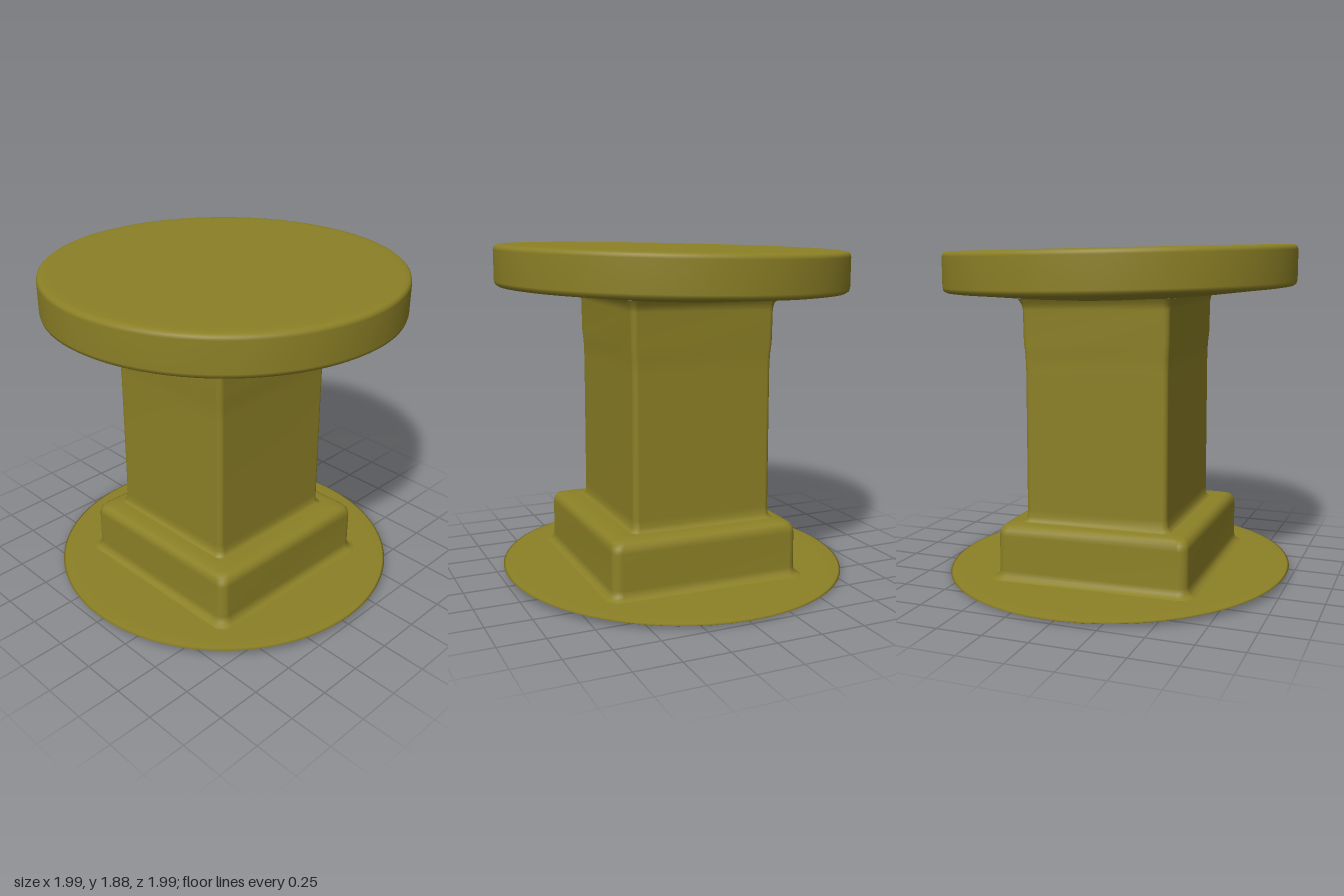
import * as THREE from 'three';

const olive = new THREE.MeshStandardMaterial({ color: 0x8c8026 });
olive.name = 'olive';

// Slight lean of every level surface: lower towards +x, higher towards +z
const lean = new THREE.Matrix4().set(
  1, 0, 0, 0,
  -0.017, 1, 0.015, 0,
  0, 0, 1, 0,
  0, 0, 0, 1
);

function part(name, geometry) {
  geometry.applyMatrix4(lean);
  const mesh = new THREE.Mesh(geometry, olive);
  mesh.name = name;
  return mesh;
}

// Round part from [radius, y] points, listed bottom to top
function turned(points) {
  return new THREE.LatheGeometry(points.map(([r, y]) => new THREE.Vector2(r, y)), 96);
}

// Square part with rounded corners, lofted through [halfWidth, y, cornerRadius] rings
function squareLoft(rings, cx, cz) {
  const steps = 6, count = 4 * (steps + 1), positions = [], index = [];
  for (const [half, y, radius] of rings) {
    for (let corner = 0; corner < 4; corner++) {
      const mid = (corner + 0.5) * Math.PI / 2;
      const sx = Math.sign(Math.cos(mid)), sz = Math.sign(Math.sin(mid));
      for (let i = 0; i <= steps; i++) {
        const a = (corner + i / steps) * Math.PI / 2;
        positions.push(
          cx + sx * (half - radius) + radius * Math.cos(a),
          y,
          cz + sz * (half - radius) + radius * Math.sin(a)
        );
      }
    }
  }
  for (let r = 0; r < rings.length - 1; r++) {
    for (let i = 0; i < count; i++) {
      const a = r * count + i, b = r * count + (i + 1) % count;
      index.push(a, a + count, b, b, a + count, b + count);
    }
  }
  const geometry = new THREE.BufferGeometry();
  geometry.setAttribute('position', new THREE.Float32BufferAttribute(positions, 3));
  geometry.setIndex(index);
  geometry.computeVertexNormals();
  return geometry;
}

export function createModel() {
  const model = new THREE.Group();
  model.name = 'pedestalTable';

  // Thin round foot plate
  model.add(part('footPlate', turned([
    [0, 0.023], [0.9, 0.023], [0.98, 0.027], [0.993, 0.034], [0.98, 0.038], [0.9, 0.041], [0, 0.043],
  ])));

  // Square plinth with a fillet at the foot and rounded top edges
  model.add(part('plinth', squareLoft([
    [0.60, 0.038, 0.08], [0.575, 0.047, 0.07], [0.56, 0.062, 0.06], [0.552, 0.09, 0.05],
    [0.551, 0.29, 0.05], [0.546, 0.32, 0.05], [0.53, 0.341, 0.05], [0.505, 0.35, 0.05],
    [0.46, 0.354, 0.05], [0.36, 0.356, 0.05],
  ], -0.015, 0.017)));

  // Square column, slightly wider near the top
  model.add(part('column', squareLoft([
    [0.445, 0.35, 0.05], [0.427, 0.36, 0.04], [0.416, 0.38, 0.035], [0.413, 0.42, 0.03],
    [0.411, 1.2, 0.03], [0.413, 1.29, 0.03], [0.419, 1.36, 0.03], [0.421, 1.54, 0.03],
    [0.427, 1.57, 0.035], [0.445, 1.6, 0.05],
  ], -0.008, -0.013)));

  // Round top with a shallow dished underside and softened rim
  model.add(part('tableTop', turned([
    [0, 1.582], [0.42, 1.588], [0.6, 1.602], [0.8, 1.622], [0.94, 1.635], [0.975, 1.64],
    [0.99, 1.65], [0.995, 1.668], [0.995, 1.835], [0.991, 1.85], [0.98, 1.86],
    [0.955, 1.864], [0.9, 1.865], [0, 1.866],
  ])));

  return model;
}
